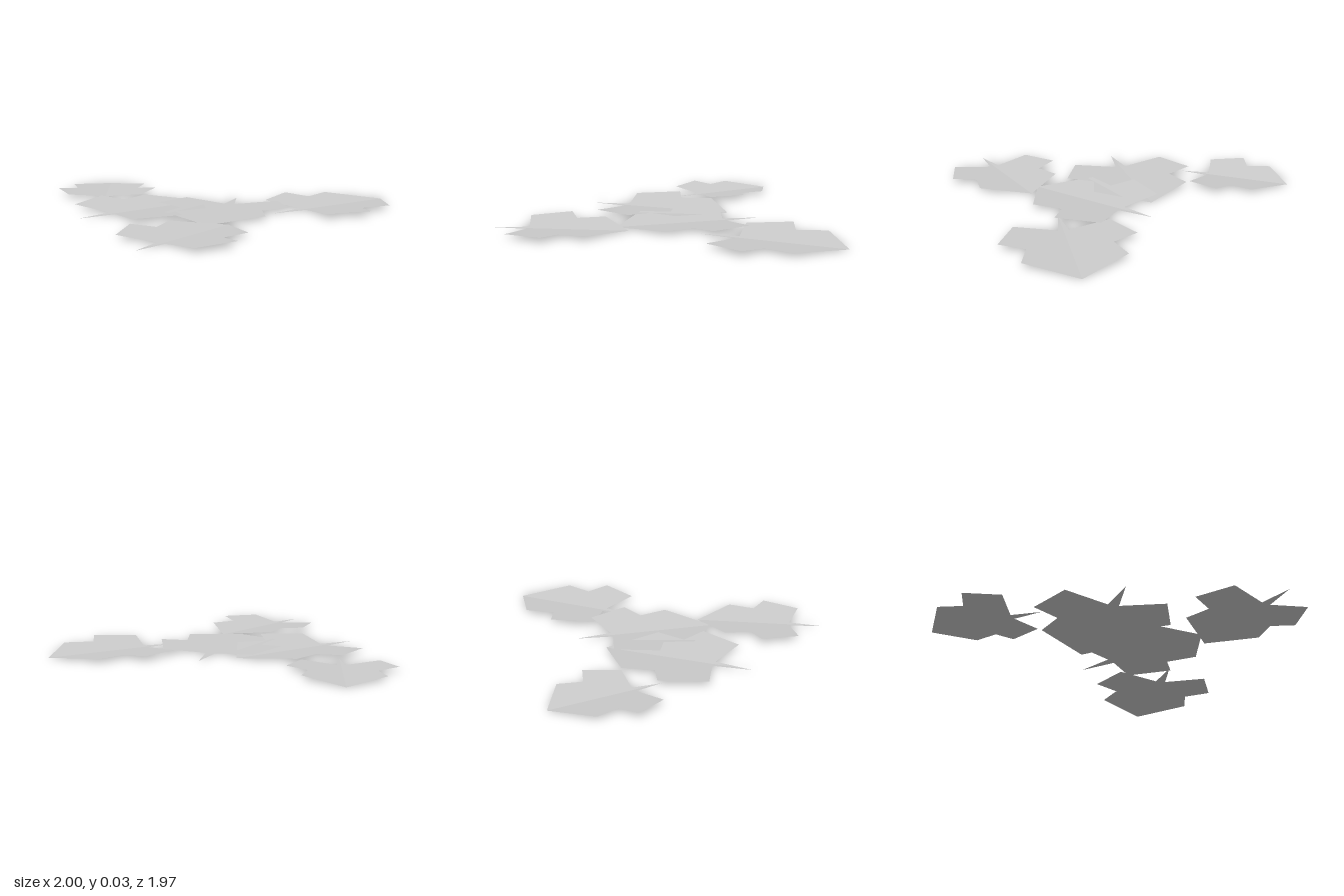
import * as THREE from 'three';
import { mergeGeometries } from 'three/addons/utils/BufferGeometryUtils.js';

// Half outline of a leaf: across from the midrib, along from the leaf base
const HALF = [
  [0, 0.628], [0.28, 0.423], [0.234, 0.25], [0.378, 0.183],
  [0.272, -0.06], [0.03, 0], [0, -0.215],
];
const FOLD = 0.078; // rise of the blade away from the midrib

// One half of the blade, lying flat with its tip towards -z
function halfBlade(side) {
  const outline = HALF.map(([x, y]) => new THREE.Vector2(side * x, y));
  return new THREE.ShapeGeometry(new THREE.Shape(outline)).rotateX(-Math.PI / 2);
}

// Whole leaf, creased along the midrib into a shallow V
function leafGeometry() {
  const geometry = mergeGeometries([halfBlade(1), halfBlade(-1)]);
  const pos = geometry.attributes.position;
  for (let i = 0; i < pos.count; i++) pos.setY(i, Math.abs(pos.getX(i)) * FOLD);
  geometry.computeVertexNormals();
  return geometry;
}

export function createModel() {
  const group = new THREE.Group();
  group.name = 'fallenLeaves';
  const material = new THREE.MeshStandardMaterial({ color: 0xcccccc, side: THREE.DoubleSide });
  material.name = 'leafGrey';
  const geometry = leafGeometry();

  // Each leaf: x, z of the blade base, then x, z of the tip
  const leaves = {
    backLeaf: [0.475, -0.365, 0.5, -0.99],
    centreLeftLeaf: [-0.08, 0.58, -0.105, -0.08],
    centreRightLeaf: [0.09, -0.135, 0.5, 0.352],
    frontLeaf: [0.712, 0.795, 0.555, 0.245],
    sideLeaf: [-0.585, 0.31, -1, 0.01],
  };
  for (const [name, [bx, bz, tx, tz]] of Object.entries(leaves)) {
    const leaf = new THREE.Mesh(geometry, material);
    leaf.name = name;
    const size = Math.hypot(tx - bx, tz - bz) / HALF[0][1];
    leaf.scale.set(size, 1, size);
    leaf.rotation.y = Math.atan2(bx - tx, bz - tz);
    leaf.position.set(bx, 0, bz);
    group.add(leaf);
  }
  return group;
}
